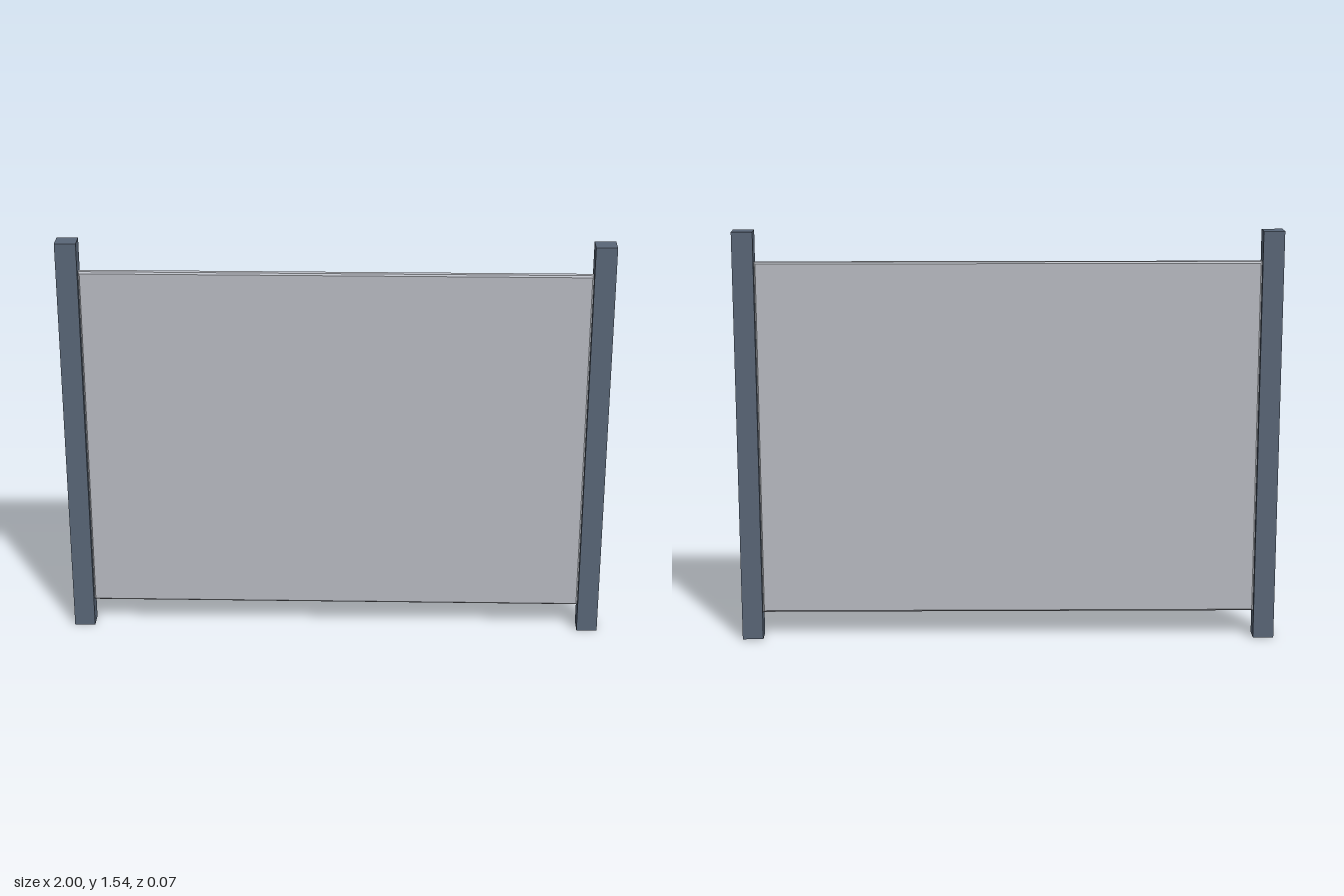
import * as THREE from 'three';

export function createModel() {
  const model = new THREE.Group();
  model.name = 'fencePanel';

  const postMaterial = new THREE.MeshStandardMaterial({ color: 0x5a6778 });
  postMaterial.name = 'slateBlue';
  const panelMaterial = new THREE.MeshStandardMaterial({ color: 0xb9bcc3 });
  panelMaterial.name = 'paleGrey';

  // Two square posts, mirrored left and right
  const height = 1.54;
  const postWidth = 0.077;
  const postGeometry = new THREE.BoxGeometry(postWidth, height, 0.07);
  for (const [name, side] of [['leftPost', 1], ['rightPost', -1]]) {
    const post = new THREE.Mesh(postGeometry, postMaterial);
    post.name = name;
    post.position.set(side * (1 - postWidth / 2), height / 2, 0);
    model.add(post);
  }

  // Infill sheet with a fine chamfer all round
  const bevel = 0.006;
  const halfThickness = 0.016;
  const x = 0.924 - bevel;
  const bottom = 0.1 + bevel;
  const top = 1.427 - bevel;
  const outline = new THREE.Shape([
    new THREE.Vector2(-x, bottom),
    new THREE.Vector2(x, bottom),
    new THREE.Vector2(x, top),
    new THREE.Vector2(-x, top),
  ]);
  const depth = 2 * (halfThickness - bevel);
  const panelGeometry = new THREE.ExtrudeGeometry(outline, {
    depth,
    bevelEnabled: true,
    bevelThickness: bevel,
    bevelSize: bevel,
    bevelSegments: 1,
  });
  panelGeometry.translate(0, 0, -depth / 2);
  const panel = new THREE.Mesh(panelGeometry, panelMaterial);
  panel.name = 'panel';
  model.add(panel);

  return model;
}
